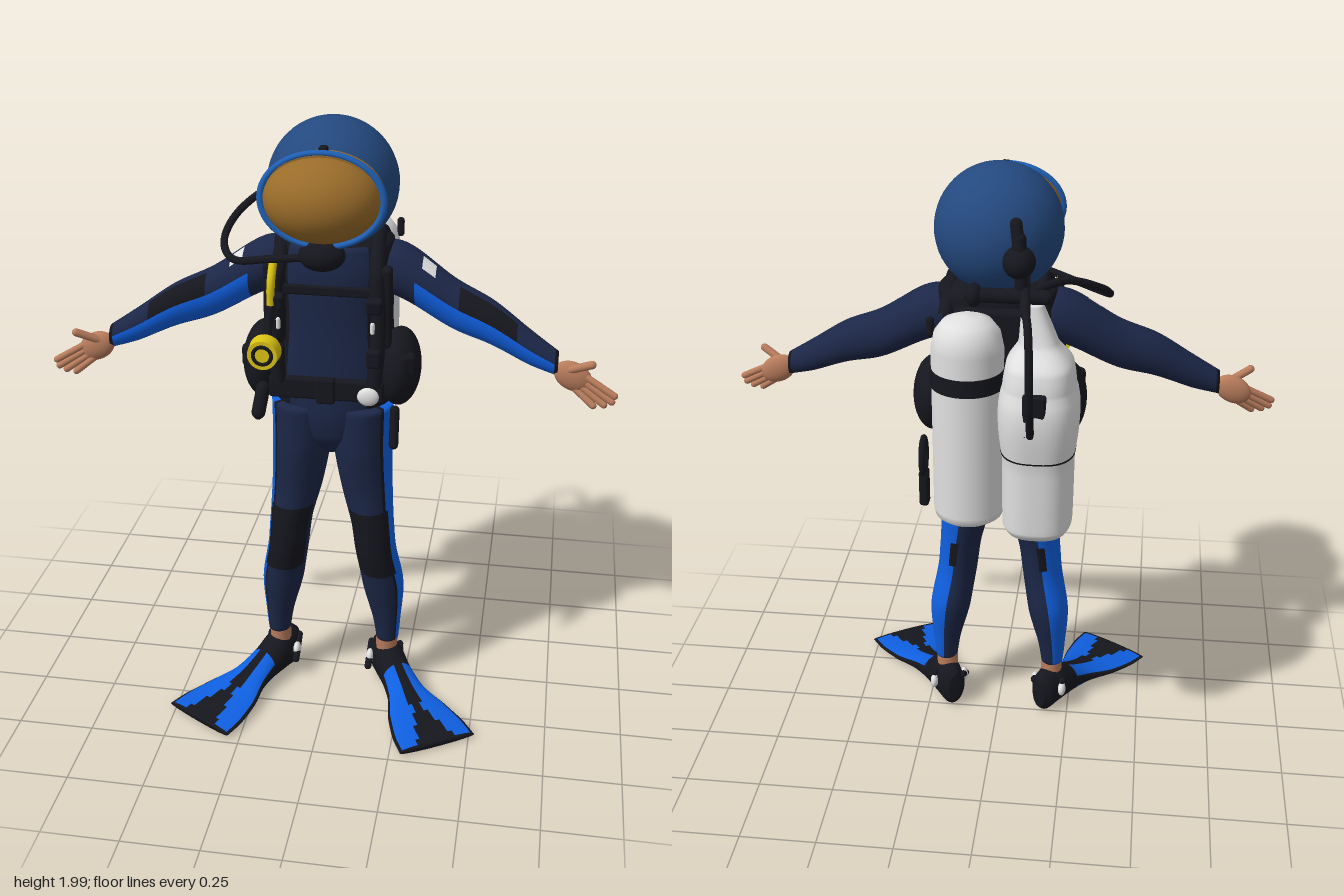
import * as THREE from 'three';
import { RoundedBoxGeometry } from 'three/addons/geometries/RoundedBoxGeometry.js';

const V = (p) => new THREE.Vector3(...p);

export function createModel() {
  const model = new THREE.Group();
  model.name = 'diver';
  const colors = {
    helmetBlue: 0x24497f, trimBlue: 0x1f5fb4, brightBlue: 0x0f5fe0, navy: 0x1c2747, black: 0x16171e,
    white: 0xe0e0e0, amber: 0x9a6c2a, skin: 0xb87c5c, yellow: 0xdcc414,
  };
  const mats = {};
  for (const [name, color] of Object.entries(colors)) {
    mats[name] = new THREE.MeshStandardMaterial({ color });
    mats[name].name = name;
  }

  function add(name, geometry, mat, pos = [0, 0, 0], scale = [1, 1, 1], rot = [0, 0, 0]) {
    const mesh = new THREE.Mesh(geometry, mats[mat]);
    mesh.name = name;
    mesh.position.set(...pos);
    mesh.scale.set(...scale);
    mesh.rotation.set(...rot);
    model.add(mesh);
    return mesh;
  }
  const ball = (name, mat, pos, radii) => add(name, new THREE.SphereGeometry(1, 40, 28), mat, pos, radii);
  const box = (name, mat, pos, size, rot) =>
    add(name, new RoundedBoxGeometry(...size, 2, Math.min(...size) * 0.3), mat, pos, undefined, rot);
  function rod(name, mat, from, to, r) {
    const a = V(from), d = V(to).sub(a);
    const mesh = add(name, new THREE.CapsuleGeometry(r, d.length(), 6, 14), mat);
    mesh.position.copy(a).addScaledVector(d, 0.5);
    mesh.quaternion.setFromUnitVectors(new THREE.Vector3(0, 1, 0), d.normalize());
    return mesh;
  }
  const hose = (name, mat, pts, r) =>
    add(name, new THREE.TubeGeometry(new THREE.CatmullRomCurve3(pts.map(V)), 48, r, 10), mat);

  // Loft through rows [x, y, z, ru, rv] rising along an axis; paint(pos, degrees) picks the colour of a face
  function loft(name, axis, rows, paint, { s = 1, p = 1, seg = 48, sub = 8 } = {}) {
    const centres = new THREE.CatmullRomCurve3(rows.map((r) => V(r.slice(0, 3))));
    const radii = new THREE.CatmullRomCurve3(rows.map((r) => new THREE.Vector3(r[3], r[4], 0)));
    const n = (rows.length - 1) * sub, pos = [], along = [];
    const u = (axis + 1) % 3, v = (axis + 2) % 3;
    const soft = (t) => Math.sign(t) * Math.abs(t) ** p;
    for (let j = -1; j <= n + 1; j++) {
      const t = Math.min(Math.max(j / n, 0), 1);
      const c = centres.getPoint(t).toArray(), r = radii.getPoint(t);
      if (j < 0 || j > n) r.set(0, 0, 0); // closed ends
      along.push(c[axis]);
      for (let i = 0; i < seg; i++) {
        const a = (i / seg) * Math.PI * 2, q = [...c];
        q[u] += r.x * soft(Math.cos(a));
        q[v] += r.y * soft(Math.sin(a));
        q[0] *= s;
        pos.push(...q);
      }
    }
    const faces = {};
    for (let j = 0; j < n + 2; j++) for (let i = 0; i < seg; i++) {
      const k = (i + 1) % seg, a = j * seg + i, b = j * seg + k, c = a + seg, d = b + seg;
      let deg = ((i + 0.5) / seg) * 360;
      if (deg > 180) deg -= 360;
      const list = (faces[paint((along[j] + along[j + 1]) / 2, deg)] ??= []);
      list.push(...(s > 0 ? [a, b, c, b, d, c] : [a, c, b, b, c, d]));
    }
    const g = new THREE.BufferGeometry(), index = [], used = [];
    for (const [mat, list] of Object.entries(faces)) {
      g.addGroup(index.length, list.length, used.length);
      for (const f of list) index.push(f);
      used.push(mats[mat]);
    }
    g.setAttribute('position', new THREE.Float32BufferAttribute(pos, 3));
    g.setIndex(index);
    g.computeVertexNormals();
    const mesh = new THREE.Mesh(g, used.length > 1 ? used : used[0]);
    mesh.name = name;
    model.add(mesh);
    return mesh;
  }

  // Helmet and visor
  ball('helmet', 'helmetBlue', [0, 1.8, 0.055], [0.2, 0.2, 0.2]);
  ball('visor', 'amber', [0, 1.805, 0.25], [0.174, 0.128, 0.138]);
  add('visorSkirt', new THREE.CylinderGeometry(1, 1, 0.07, 48), 'amber', [0, 1.805, 0.235], [0.177, 1, 0.132], [Math.PI / 2, 0, 0]);
  add('visorRing', new THREE.TorusGeometry(0.18, 0.012, 12, 64), 'trimBlue', [0, 1.805, 0.265], [1, 0.76, 1], [-0.06, 0, 0]);
  box('visorClip', 'black', [0, 1.945, 0.235], [0.025, 0.02, 0.04]);
  ball('mouthRegulator', 'black', [0, 1.64, 0.265], [0.07, 0.048, 0.052]);

  // Body and vest
  loft('torso', 1, [
    [0, 0.93, 0.07, 0.07, 0.04], [0, 1.0, 0.07, 0.115, 0.13], [0, 1.1, 0.07, 0.125, 0.16],
    [0, 1.4, 0.05, 0.12, 0.17], [0, 1.58, 0.04, 0.11, 0.17], [0, 1.66, 0.04, 0.08, 0.11],
  ], () => 'navy');
  loft('vest', 1, [
    [0, 1.09, 0.04, 0.14, 0.185], [0, 1.2, 0.04, 0.148, 0.2], [0, 1.38, 0.035, 0.148, 0.185],
    [0, 1.54, 0.035, 0.15, 0.19], [0, 1.62, 0.03, 0.14, 0.185], [0, 1.655, 0.03, 0.1, 0.13],
  ], (y, a) => (Math.abs(a) < 40 && y < 1.63 ? 'navy' : 'black'), { p: 0.85 });
  box('backPlate', 'black', [0, 1.36, -0.115], [0.24, 0.48, 0.05]);
  box('chestStrap', 'black', [0, 1.5, 0.185], [0.28, 0.03, 0.02]);
  box('waistBelt', 'black', [0, 1.18, 0.195], [0.36, 0.07, 0.03]);
  box('beltClasp', 'black', [0, 1.18, 0.21], [0.06, 0.085, 0.03]);
  ball('beltBuckle', 'white', [0.135, 1.175, 0.225], [0.034, 0.03, 0.016]);

  for (const s of [-1, 1]) {
    // Harness straps, pads and pockets
    hose('shoulderStrap', 'black', [[s * 0.15, 1.56, -0.1], [s * 0.14, 1.645, 0.02], [s * 0.15, 1.57, 0.17],
      [s * 0.16, 1.4, 0.19], [s * 0.15, 1.2, 0.2]], 0.024);
    box('chestPad', 'black', [s * 0.165, 1.45, 0.165], [0.065, 0.26, 0.05]);
    box('strapClip', 'black', [s * 0.15, 1.47, 0.215], [0.05, 0.05, 0.035], [0.2, 0, 0]);
    box('lowerClip', 'black', [s * 0.15, 1.3, 0.215], [0.045, 0.06, 0.035]);
    rod('metalRing', 'white', [s * 0.145, 1.41, 0.215], [s * 0.145, 1.385, 0.215], 0.007);
    ball('pocket', 'black', [s * 0.215, 1.225, 0.08], [0.068, 0.125, 0.12]);
    box('pocketFlap', 'black', [s * 0.235, 1.26, 0.14], [0.06, 0.08, 0.08], [0, s * 0.5, 0]);
    rod('hangingStrap', 'black', [s * 0.215, 1.12, 0.19], [s * 0.215, s > 0 ? 1.01 : 1.08, 0.21], 0.015);

    // Arms
    loft('arm', 0, [
      [0.12, 1.545, 0.025, 0.075, 0.08], [0.22, 1.525, 0.035, 0.088, 0.085], [0.38, 1.435, 0.06, 0.08, 0.066],
      [0.5, 1.39, 0.085, 0.07, 0.06], [0.62, 1.325, 0.11, 0.054, 0.047], [0.705, 1.285, 0.125, 0.038, 0.035],
    ], (x, a) => {
      if (x > 0.27 && x < 0.33 && a > 5 && a < 42) return 'white';
      if (x > 0.4 && x < 0.58 && a > 25 && a < 82) return 'black';
      if (x > 0.25 && x < 0.69 && a > 82 && a < 160) return 'brightBlue';
      return x > 0.69 ? 'black' : 'navy';
    }, { s });

    // Hands
    const palm = ball('palm', 'skin', [s * 0.752, 1.253, 0.142], [0.062, 0.045, 0.025]);
    palm.rotation.z = -s * 0.5;
    const fingers = [[0.79, 1.257, 0.88, 1.208], [0.785, 1.24, 0.873, 1.188], [0.775, 1.226, 0.85, 1.177], [0.762, 1.214, 0.818, 1.172]];
    for (const [x, y, tx, ty] of fingers) rod('finger', 'skin', [s * x, y, 0.148], [s * tx, ty, 0.17], 0.011);
    rod('thumb', 'skin', [s * 0.735, 1.275, 0.15], [s * 0.805, 1.31, 0.18], 0.013);

    // Legs
    loft('leg', 1, [
      [0.19, 0.195, 0.065, 0.043, 0.038], [0.187, 0.27, 0.065, 0.055, 0.047], [0.17, 0.43, 0.068, 0.083, 0.07],
      [0.148, 0.56, 0.088, 0.086, 0.068], [0.137, 0.66, 0.09, 0.09, 0.07], [0.115, 0.8, 0.08, 0.1, 0.084],
      [0.1, 0.95, 0.075, 0.12, 0.095], [0.098, 1.1, 0.07, 0.125, 0.098],
    ], (y, a) => {
      if (y > 0.48 && y < 0.72 && a > -70 && a < 62) return 'black';
      if (y > 0.6 && y < 0.7 && a > 155) return 'black';
      if (a > 52 && a < 172) return 'brightBlue';
      if (a > 43 && a <= 52) return 'black';
      return 'navy';
    }, { s });
    rod('ankle', 'skin', [s * 0.188, 0.13, 0.06], [s * 0.188, 0.195, 0.063], 0.037);

    // Fins
    const fin = loft('fin', 2, [
      [0, 0.09, -0.06, 0.025, 0.055], [0, 0.088, -0.035, 0.045, 0.078], [0, 0.092, 0.03, 0.054, 0.08],
      [0, 0.072, 0.1, 0.056, 0.06], [0, 0.052, 0.18, 0.068, 0.04], [0, 0.037, 0.27, 0.105, 0.024],
      [0, 0.028, 0.37, 0.13, 0.015], [0, 0.024, 0.435, 0.135, 0.01],
    ], (z, a) => {
      const across = Math.abs(Math.cos((a * Math.PI) / 180));
      const inner = z > 0.26 ? 0.12 + (z - 0.26) * 2.2 : 0.2;
      return z > 0.11 && z < 0.425 && across > inner && across < 0.93 ? 'brightBlue' : 'black';
    });
    fin.position.set(s * 0.18, 0, 0.04);
    fin.rotation.y = s * 0.54;
    for (const side of [-1, 1]) {
      ball('finBuckle', 'white', [s * 0.18 + side * 0.05, 0.1, 0.04 - side * s * 0.025], [0.014, 0.026, 0.022]);
      rod('finRib', 'black', [s * 0.18 + side * 0.052, 0.08, 0.1], [s * 0.18 + side * 0.05, 0.13, 0.02], 0.012);
    }
  }

  // Yellow spare regulator and its hose
  hose('spareHose', 'yellow', [[-0.16, 1.6, 0.19], [-0.163, 1.53, 0.225], [-0.165, 1.46, 0.225]], 0.013);
  rod('spareHoseEnd', 'black', [-0.165, 1.46, 0.225], [-0.17, 1.36, 0.26], 0.012);
  add('spareRegulator', new THREE.CylinderGeometry(0.046, 0.05, 0.05, 28), 'yellow', [-0.17, 1.34, 0.315], undefined, [Math.PI / 2, 0, 0]);
  add('spareCover', new THREE.TorusGeometry(0.028, 0.006, 8, 28), 'black', [-0.17, 1.34, 0.34]);
  box('spareMouthpiece', 'black', [-0.17, 1.34, 0.26], [0.06, 0.05, 0.07]);
  rod('gauge', 'black', [-0.2, 1.17, 0.2], [-0.21, 1.1, 0.23], 0.022);

  // Round-topped tank
  const tankProfile = [[0, 0.95], [0.09, 0.95], [0.106, 0.962], [0.11, 0.985], [0.11, 1.52], [0.1, 1.57], [0.075, 1.603], [0.04, 1.618], [0, 1.622]];
  add('roundTank', new THREE.LatheGeometry(tankProfile.map((q) => new THREE.Vector2(...q)), 40), 'white', [0.065, 0, -0.225]);
  add('roundTankBand', new THREE.CylinderGeometry(0.114, 0.114, 0.055, 40), 'black', [0.065, 1.43, -0.225]);
  rod('tankLatch', 'black', [0.175, 1.6, -0.225], [0.175, 1.56, -0.225], 0.012);
  const loop = add('tankHandle', new THREE.TorusGeometry(0.035, 0.011, 8, 24), 'black', [0.205, 1.15, -0.23], [1, 1.5, 1], [0, Math.PI / 2, 0]);
  loop.rotation.z = 0.1;
  box('handleBase', 'black', [0.205, 1.04, -0.23], [0.03, 0.12, 0.045]);

  // Square-shouldered tank with neck
  loft('squareTank', 1, [
    [-0.155, 0.95, -0.26, 0.115, 0.095], [-0.155, 0.975, -0.26, 0.128, 0.108], [-0.155, 1.2, -0.26, 0.13, 0.11],
    [-0.155, 1.43, -0.26, 0.13, 0.11], [-0.155, 1.5, -0.26, 0.115, 0.1], [-0.15, 1.56, -0.255, 0.06, 0.06],
    [-0.14, 1.62, -0.25, 0.045, 0.045], [-0.13, 1.68, -0.25, 0.03, 0.03],
  ], (y) => (y <= 0.951 ? 'black' : 'white'), { p: 0.75 });
  loft('squareTankBand', 1, [[-0.155, 1.22, -0.26, 0.134, 0.114], [-0.155, 1.41, -0.26, 0.134, 0.114]],
    () => 'black', { p: 0.75 });
  box('bandBuckle', 'black', [-0.15, 1.38, -0.39], [0.07, 0.14, 0.03]);
  box('tankBridge', 'black', [-0.04, 1.32, -0.2], [0.08, 0.1, 0.12]);

  // Valve and hoses
  rod('valveBar', 'black', [-0.17, 1.7, -0.26], [0.05, 1.7, -0.26], 0.022);
  rod('valveCross', 'black', [-0.1, 1.74, -0.15], [-0.12, 1.69, -0.37], 0.015);
  rod('valvePost', 'black', [-0.1, 1.68, -0.25], [-0.09, 1.87, -0.25], 0.02);
  ball('valveBody', 'black', [-0.09, 1.8, -0.25], [0.048, 0.048, 0.05]);
  rod('valveKnob', 'black', [-0.09, 1.84, -0.26], [-0.08, 1.91, -0.24], 0.018);
  ball('valveEnd', 'black', [0.04, 1.7, -0.26], [0.025, 0.035, 0.035]);
  hose('rearHose', 'black', [[-0.11, 1.7, -0.33], [-0.13, 1.68, -0.42], [-0.14, 1.57, -0.465],
    [-0.14, 1.45, -0.455], [-0.14, 1.32, -0.4]], 0.012);
  hose('airHose', 'black', [[-0.12, 1.71, -0.25], [-0.22, 1.72, -0.17], [-0.32, 1.66, -0.06], [-0.345, 1.6, 0.05],
    [-0.29, 1.575, 0.16], [-0.17, 1.6, 0.21], [-0.03, 1.63, 0.26]], 0.012);

  return model;
}
